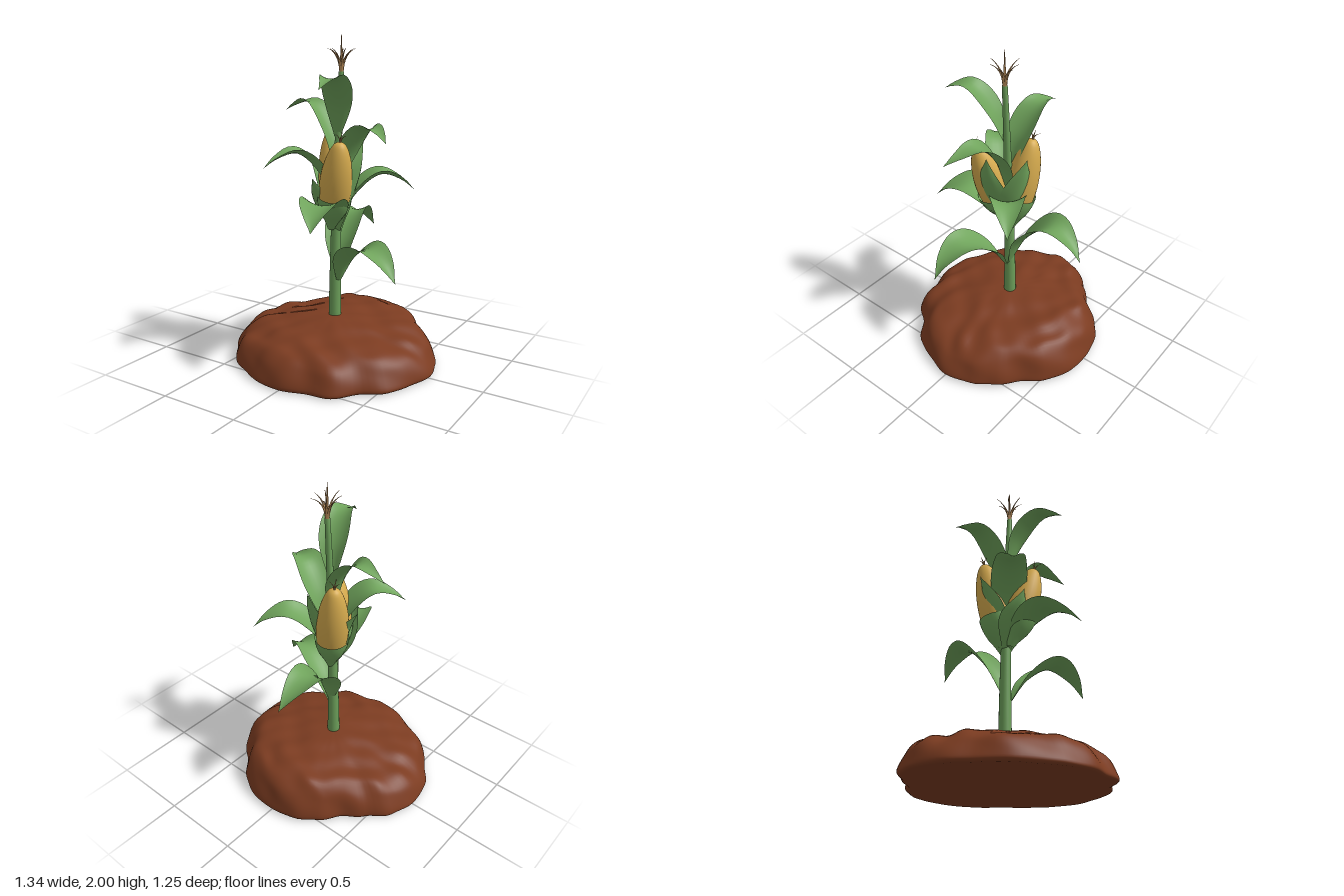
import * as THREE from 'three';
import { mergeVertices } from 'three/addons/utils/BufferGeometryUtils.js';

const V = (x, y, z) => new THREE.Vector3(x, y, z);
const UP = V(0, 1, 0);

function flat(name, color, side = THREE.FrontSide) {
  const m = new THREE.MeshStandardMaterial({ color, side });
  m.name = name;
  return m;
}

// Apply a rule to every vertex, then weld and smooth
function reshape(geo, rule) {
  const p = geo.attributes.position, v = V(0, 0, 0);
  for (let i = 0; i < p.count; i++) {
    v.fromBufferAttribute(p, i);
    rule(v, i);
    p.setXYZ(i, v.x, v.y, v.z);
  }
  geo.deleteAttribute('uv');
  geo.deleteAttribute('normal');
  const welded = mergeVertices(geo, 1e-5);
  welded.computeVertexNormals();
  return welded;
}

// Blade swept along a path: pointed at the tip, edges curled towards its upper side
function bladeGeometry(points, halfWidth, curl, baseWidth) {
  const curve = new THREE.CatmullRomCurve3(points);
  const out = points[points.length - 1].clone().sub(points[0]).setY(0).normalize();
  const side = V(0, 0, 0).crossVectors(out, UP);
  const geo = new THREE.PlaneGeometry(1, 1, 8, 24);
  const uv = geo.attributes.uv.clone();
  return reshape(geo, (v, i) => {
    const u = uv.getX(i) * 2 - 1, t = uv.getY(i);
    const tangent = curve.getTangentAt(t);
    const upper = V(0, 0, 0).crossVectors(side, tangent).normalize();
    const w = halfWidth * Math.max(0, Math.sin(Math.PI * t)) ** 1.15 + baseWidth * (1 - t) ** 3;
    v.copy(curve.getPointAt(t)).addScaledVector(side, u * w).addScaledVector(upper, u * u * w * curl);
  });
}

// Arching leaf from the stalk: base height, apex height, tip, sideways bow in x and z
function archPath(base, apex, tip, [bx, bz]) {
  const at = (f, y, bow) => V(0.02 + (tip[0] - 0.02) * f + bx * bow, y, tip[2] * f + bz * bow);
  const drop = apex - tip[1];
  return [at(0.03, base, 0), at(0.22, base + (apex - base) * 0.6, 0.7), at(0.55, apex, 1),
    at(0.82, apex - drop * 0.35, 0.6), V(...tip)];
}

// Mound outline: radius every 15 degrees, from +z towards +x
const OUTLINE = [0.62, 0.6, 0.635, 0.595, 0.64, 0.645, 0.67, 0.65, 0.62, 0.59, 0.62, 0.632,
  0.625, 0.615, 0.585, 0.545, 0.58, 0.645, 0.672, 0.665, 0.63, 0.63, 0.61, 0.62];

function outlineRadius(angle) {
  const a = ((angle / (Math.PI * 2) + 1) % 1) * 24;
  const i = Math.floor(a) % 24, f = a - Math.floor(a);
  return THREE.MathUtils.lerp(OUTLINE[i], OUTLINE[(i + 1) % 24], f * f * (3 - 2 * f));
}

function moundGeometry() {
  const profile = new THREE.SplineCurve([[0.985, 0.004], [1, 0.025], [0.955, 0.09], [0.89, 0.145],
    [0.78, 0.19], [0.6, 0.218], [0.4, 0.242], [0.2, 0.268], [0, 0.275]]
    .map(([r, y]) => new THREE.Vector2(r, y))).getPoints(36);
  profile[profile.length - 1].x = 0;
  profile.unshift(new THREE.Vector2(0, 0), new THREE.Vector2(0.97, 0));
  return reshape(new THREE.LatheGeometry(profile, 120), v => {
    const s = Math.hypot(v.x, v.z), a = Math.atan2(v.x, v.z);
    const r = outlineRadius(a), h = v.y / 0.26;
    v.x *= r;
    v.z *= r;
    // soft clods, and a higher back
    const lump = 0.015 * Math.sin(13 * v.x + 4 * Math.sin(7 * v.z)) * Math.cos(12 * v.z + 2)
      + 0.009 * Math.sin(27 * v.x + 1) * Math.sin(24 * v.z + 3 * v.x);
    const back = 0.09 * THREE.MathUtils.clamp(-v.z - 0.05, 0, 0.35) / 0.35;
    v.y += h * s * (lump * 1.4 + back);
    const bulge = 1 + 0.025 * h * Math.sin(9 * a + 25 * v.y) * s;
    v.x *= bulge;
    v.z *= bulge;
  });
}

// Tapered strand that bends outwards, base at the origin
function bristle(radius, height, reach, angle) {
  const geo = new THREE.CylinderGeometry(radius * 0.12, radius, height, 6, 8).translate(0, height / 2, 0);
  return reshape(geo, v => {
    const t = v.y / height;
    v.x += reach * (0.25 * t + 0.75 * t ** 3);
    v.y -= height * 0.1 * t ** 5 * (reach > 0 ? 1 : 0);
  }).rotateY(angle);
}

export function createModel() {
  const root = new THREE.Group();
  const soil = flat('soil', 0x7c3c21);
  const stalkGreen = flat('stalkGreen', 0x6c9f5a);
  const leafGreen = flat('leafGreen', 0x70a45c, THREE.DoubleSide);
  const kernel = flat('kernelYellow', 0xd6ab4e);
  const straw = flat('strawBrown', 0xb58a58);

  function add(name, geo, mat, parent = root) {
    const m = new THREE.Mesh(geo, mat);
    m.name = name;
    parent.add(m);
    return m;
  }

  // Empty named group
  function group(name) {
    const g = new THREE.Group();
    g.name = name;
    root.add(g);
    return g;
  }

  add('soilMound', moundGeometry(), soil);

  // Stalk: tapered, leaning slightly towards the top
  const stalkBase = 0.2, stalkTop = 1.79;
  const stalk = new THREE.CylinderGeometry(0.016, 0.041, stalkTop - stalkBase, 16, 16)
    .translate(0, (stalkTop + stalkBase) / 2, 0);
  add('stalk', reshape(stalk, v => {
    const t = (v.y - stalkBase) / (stalkTop - stalkBase);
    v.x += 0.045 * t * t;
  }), stalkGreen);

  // Leaves: base height, apex height, tip, half width, sideways bow
  const leaves = group('leaves');
  [
    [0.50, 0.76, [0.52, 0.605, 0.18], 0.12, [0, 0.03]],
    [0.52, 0.89, [-0.015, 0.755, -0.525], 0.12, [-0.05, 0]],
    [0.82, 1.03, [0.145, 0.915, 0.485], 0.13, [-0.015, 0]],
    [0.86, 1.17, [0.395, 1.07, -0.295], 0.11, [0, 0]],
    [0.95, 1.31, [-0.285, 1.225, 0.345], 0.11, [0, 0]],
    [1.07, 1.46, [0.425, 1.395, 0.14], 0.1, [0, -0.045]],
    [1.20, 1.60, [-0.395, 1.545, -0.04], 0.09, [0, -0.025]],
    [1.40, 1.75, [0.13, 1.695, 0.375], 0.09, [0.03, 0]],
  ].forEach(([base, apex, tip, w, bow], i) =>
    add('leaf' + (i + 1), bladeGeometry(archPath(base, apex, tip, bow), w, 0.35, 0.02), leafGreen, leaves));

  // Cobs in a husk cup, with silk at the tip
  const spline = pts => new THREE.SplineCurve(pts.map(([r, y]) => new THREE.Vector2(r, y)));
  const cobProfile = spline([[0, 0], [0.06, 0.05], [0.09, 0.18], [0.099, 0.4],
    [0.091, 0.62], [0.068, 0.82], [0.036, 0.96], [0, 1]]).getPoints(28);
  const cupProfile = spline([[0.02, -0.2], [0.045, -0.08], [0.078, 0.04], [0.1, 0.17], [0.106, 0.27]]).getPoints(10);
  [
    ['frontCob', V(0.02, 0.93, 0.06), V(0.125, 1.39, 0.14)],
    ['backCob', V(-0.005, 0.91, -0.03), V(-0.09, 1.43, -0.1)],
  ].forEach(([name, from, to]) => {
    const axis = to.clone().sub(from), length = axis.length();
    const cob = group(name);
    cob.position.copy(from);
    cob.quaternion.setFromUnitVectors(UP, axis.normalize());
    const scaled = pts => pts.map(p => new THREE.Vector2(Math.max(p.x, 0), p.y * length));
    add('kernels', new THREE.LatheGeometry(scaled(cobProfile), 28), kernel, cob);
    add('huskCup', new THREE.LatheGeometry(scaled(cupProfile), 28), leafGreen, cob);
    for (let i = 0; i < 4; i++)
      add('silk', bristle(0.006, 0.06, 0.035, i * Math.PI / 2 + 0.4).translate(0, length - 0.01, 0), straw, cob);
  });

  // Husk blades hugging the cobs
  const husks = group('husks');
  [
    [0.085, [[0, 0.83, 0.02], [-0.03, 0.97, 0.11], [-0.035, 1.08, 0.17], [-0.035, 1.17, 0.195]]],
    [0.1, [[0.03, 0.84, 0.01], [0.13, 1.03, 0.04], [0.19, 1.22, 0.03], [0.205, 1.39, 0.01]]],
    [0.08, [[0, 0.84, -0.01], [-0.08, 1.0, -0.02], [-0.15, 1.17, -0.02], [-0.2, 1.27, -0.02]]],
    [0.1, [[0, 0.84, -0.02], [0.05, 1.05, -0.1], [0.065, 1.25, -0.15], [0.055, 1.38, -0.17]]],
  ].forEach(([w, pts], i) =>
    add('husk' + (i + 1), bladeGeometry(pts.map(p => V(...p)), w, 0.5, 0.035), leafGreen, husks));

  // Tassel: one upright spike and a ring of curved ones
  const tassel = group('tassel');
  tassel.position.set(0.045, 1.77, 0);
  add('tasselSpike', bristle(0.012, 0.23, 0, 0), straw, tassel);
  for (let i = 0; i < 7; i++)
    add('tasselBranch', bristle(0.012, 0.17, i % 2 ? 0.1 : 0.08, i * Math.PI * 2 / 7 + 0.2), straw, tassel);

  return root;
}
